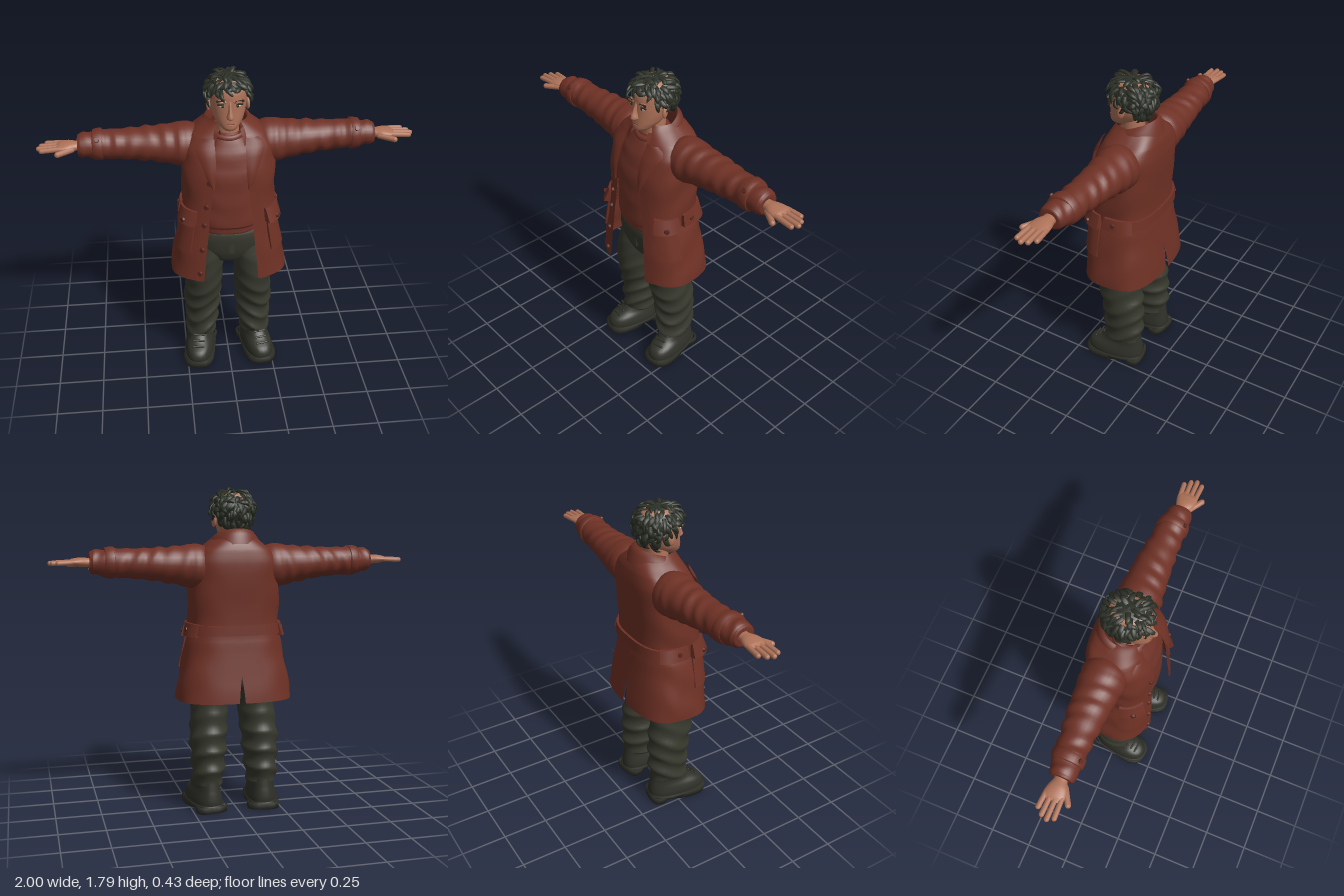
import * as THREE from 'three';
import { mergeVertices, mergeGeometries, toCreasedNormals } from 'three/addons/utils/BufferGeometryUtils.js';

const mat = (name, color, side = THREE.FrontSide) => {
  const m = new THREE.MeshStandardMaterial({ color, side });
  m.name = name;
  return m;
};
const { sin, cos, abs, sign, PI, pow, sqrt } = Math;

// Grid surface: fn(i, j) gives a point, columns i run around, rows j run along
function sheet(nu, nv, fn, closed) {
  const pos = [], idx = [], cols = closed ? nu : nu + 1;
  for (let j = 0; j <= nv; j++) for (let i = 0; i < cols; i++) pos.push(...fn(i, j));
  for (let j = 0; j < nv; j++) for (let i = 0; i < nu; i++) {
    const a = j * cols + i, b = j * cols + (i + 1) % cols;
    idx.push(a, b, a + cols, b, b + cols, a + cols);
  }
  const g = new THREE.BufferGeometry();
  g.setAttribute('position', new THREE.Float32BufferAttribute(pos, 3));
  g.setIndex(idx);
  g.computeVertexNormals();
  return g;
}

// Smooth lookup in a table of key rows whose first entry is the parameter
function at(keys, q) {
  let i = 0;
  while (i < keys.length - 2 && q > keys[i + 1][0]) i++;
  const K = n => keys[Math.max(0, Math.min(keys.length - 1, n))];
  const f = (q - K(i)[0]) / (K(i + 1)[0] - K(i)[0]);
  return K(i).map((p1, c) => {
    if (!c) return q;
    const p0 = K(i - 1)[c], p2 = K(i + 1)[c], p3 = K(i + 2)[c];
    return p1 + 0.5 * f * (p2 - p0 + f * (2 * p0 - 5 * p1 + 4 * p2 - p3 + f * (3 * (p1 - p2) + p3 - p0)));
  });
}
const steps = (keys, k) => keys.slice(1).reduce((r, b, i) => {
  for (let n = 1; n <= k; n++) r.push(keys[i][0] + (b[0] - keys[i][0]) * n / k);
  return r;
}, [keys[0][0]]);
const sp = (v, e) => sign(v) * pow(abs(v), e);

// Upright body from rows [y, half width, front z, back z, centre x]
function loft(keys, { n = 32, k = 4, e = 1, fold = () => 0 } = {}) {
  const q = steps(keys, k);
  return sheet(n, q.length - 1, (i, j) => {
    const [y, w, f, b, cx = 0] = at(keys, q[j]), a = i / n * 2 * PI, d = fold(a, y);
    return [cx + (w + d) * sp(sin(a), e), y, (f + b) / 2 + ((f - b) / 2 + d) * sp(cos(a), e)];
  }, true);
}
// Sideways tube from rows [x, centre y, centre z, y radius, z radius]
function limb(keys, { n = 28, k = 5, fold = () => 0 } = {}) {
  const q = steps(keys, k);
  return sheet(n, q.length - 1, (i, j) => {
    const [x, y, z, ry, rz] = at(keys, q[j]), a = i / n * 2 * PI, d = fold(a, x);
    return [x, y + (ry + d) * cos(a), z + (rz + d) * sin(a)];
  }, true);
}
function mirrored(geo) {
  const g = (geo.index ? geo.clone() : mergeVertices(geo)).scale(-1, 1, 1), id = g.index.array;
  for (let i = 0; i < id.length; i += 3) [id[i], id[i + 1]] = [id[i + 1], id[i]];
  return g;
}
const ball = (x, y, z, rx, ry, rz) => new THREE.SphereGeometry(1, 20, 14).scale(rx, ry, rz).translate(x, y, z);
const box = (w, h, d, x, y, z, rz = 0) => new THREE.BoxGeometry(w, h, d).rotateZ(rz).translate(x, y, z);

// Coat rows: y, half width, front z, back z, half opening
const COAT = [
  [0.63, 0.322, 0.215, -0.212, 0.15], [0.8, 0.295, 0.208, -0.19, 0.135], [0.95, 0.265, 0.2, -0.172, 0.12],
  [1.02, 0.25, 0.195, -0.165, 0.115], [1.15, 0.25, 0.19, -0.167, 0.097], [1.28, 0.25, 0.182, -0.176, 0.085],
  [1.38, 0.242, 0.155, -0.178, 0.083], [1.45, 0.2, 0.12, -0.168, 0.085], [1.49, 0.15, 0.1, -0.152, 0.078],
  [1.53, 0.105, 0.085, -0.125, 0.06]];
const CE = 0.72;
function coatPoint(a, y, off = 0) {
  const [, w, f, b] = at(COAT, y);
  const d = off + 0.004 * sin(y * 30 + 3 * sin(2 * a)) * sin(a) ** 2;
  return [(w + d) * sp(sin(a), CE), y, (f + b) / 2 + ((f - b) / 2 + d) * sp(cos(a), CE)];
}
const angleAt = (x, y) => Math.asin(Math.min(1, pow(x / at(COAT, y)[1], 1 / CE)));
// Raised panel that follows the coat surface
function panel(a0, a1, y0, y1, low, high, n = 10) {
  const prof = [[y0, 0], [y0, low], [y1, high], [y1, 0]];
  return toCreasedNormals(sheet(n + 2, 3, (i, j) => {
    const t = Math.min(1, Math.max(0, (i - 1) / n)), edge = i === 0 || i === n + 2;
    return coatPoint(a0 + (a1 - a0) * t, prof[j][0], edge ? -0.004 : prof[j][1]);
  }), 0.7);
}

export function createModel() {
  const model = new THREE.Group();
  const D = THREE.DoubleSide;
  const coat = mat('coat red brown', 0x6f3125, D), knit = mat('sweater red brown', 0x713328);
  const skin = mat('skin', 0xae7258), hair = mat('hair', 0x2b2f25), pants = mat('trousers', 0x37382d);
  const boot = mat('boots', 0x2f3028), trim = mat('buttons', 0x5a271e), lip = mat('lips', 0x8f5443), white = mat('eye white', 0xc9bfb2);
  const add = (name, geo, m) => {
    const o = new THREE.Mesh(geo, m);
    o.name = name;
    model.add(o);
  };
  const both = (name, geo, m) => {
    add(name + 'Left', geo, m);
    add(name + 'Right', mirrored(geo), m);
  };

  // Coat body in two halves, parted at the front and vented at the back
  const rows = steps(COAT, 5);
  both('coatBody', sheet(40, rows.length - 1, (i, j) => {
    const y = rows[j], a0 = angleAt(at(COAT, y)[4], y), a1 = PI - Math.max(0, 0.77 - y) * 0.12;
    return coatPoint(a0 + (a1 - a0) * i / 40, y);
  }), coat);

  // Lapels widen from the fastening up to a pointed notch
  both('lapel', sheet(6, 12, (i, j) => {
    const v = j / 12, y = 1.19 + 0.265 * v, o = at(COAT, y)[4] - 0.008;
    const wide = v < 0.88 ? 0.105 * pow(v / 0.88, 0.75) : 0.105 - 0.4 * (v - 0.88);
    return coatPoint(angleAt(o + wide * i / 6, y), y, 0.013 + 0.006 * sin(PI * i / 6));
  }), coat);

  // Folded collar: stand, roll and fall
  add('collar', sheet(40, 4, (i, j) => {
    const a = 0.5 + (2 * PI - 1) * i / 40, back = (1 - cos(a)) / 2;
    const [r, h] = [[0, -0.05], [0, 0], [0.012, 0.012], [0.035, -0.015], [0.055, -0.07]][j];
    return [(0.098 + r) * sin(a), 1.475 + 0.08 * back + h, -0.008 + (0.108 + r * 0.8) * cos(a)];
  }), coat);

  // Pocket flaps, patch pockets, half belt and its buttoned tabs
  both('patchPocket', panel(0.72, 1.4, 0.8, 0.99, 0.008, 0.008), coat);
  both('pocketFlap', panel(0.68, 1.42, 0.975, 1.055, 0.032, 0.012), coat);
  both('beltTab', panel(1.53, 2.2, 0.985, 1.055, 0.026, 0.016), coat);
  both('backBelt', panel(2.15, PI, 0.995, 1.05, 0.013, 0.013), coat);
  both('frontPlacketSeam', sheet(2, 12, (i, j) => {
    const y = 0.63 + 0.57 * j / 12;
    return coatPoint(angleAt(at(COAT, y)[4] + 0.045 * i / 2, y), y, 0.005);
  }), coat);

  // Buttons stand off the surface
  const button = (a, y, off) => {
    const p = new THREE.Vector3(...coatPoint(a, y, off)), n = new THREE.Vector3(...coatPoint(a, y, off + 0.05)).sub(p).normalize();
    return new THREE.CylinderGeometry(0.013, 0.015, 0.012, 16)
      .applyQuaternion(new THREE.Quaternion().setFromUnitVectors(new THREE.Vector3(0, 1, 0), n)).translate(p.x, p.y, p.z);
  };
  add('frontButtonsRight', mirrored(mergeGeometries([1.23, 1.09, 0.98, 0.83, 0.68].map(y => button(angleAt(at(COAT, y)[4] + 0.024, y), y, 0.008)))), trim);
  both('pocketButton', button(1.05, 0.997, 0.03), trim);
  both('beltTabButton', button(1.66, 1.02, 0.024), trim);

  // Sleeves with gathered folds and strapped cuffs
  const SLEEVE = [[0.13, 1.36, -0.03, 0.1, 0.09], [0.21, 1.363, -0.03, 0.122, 0.12], [0.32, 1.37, -0.03, 0.104, 0.11],
    [0.45, 1.378, -0.03, 0.088, 0.098], [0.58, 1.383, -0.025, 0.079, 0.084], [0.66, 1.388, -0.022, 0.077, 0.08],
    [0.77, 1.39, -0.014, 0.064, 0.068], [0.785, 1.39, -0.012, 0.056, 0.06], [0.775, 1.39, -0.012, 0.03, 0.035]];
  const sleeveFold = (a, x) => (x > 0.25 && x < 0.76 ? 0.0055 : 0) * sin(x * 75 + 2.2 * sin(a + 0.8)) * (0.6 + 0.4 * sin(2 * a + x * 20));
  both('sleeve', limb(SLEEVE.slice(0, 8), { k: 8, fold: sleeveFold }), coat);
  both('cuffLining', limb([[0.76, 1.39, -0.012, 0.05, 0.054], [0.784, 1.39, -0.012, 0.057, 0.061], [0.786, 1.39, -0.012, 0.03, 0.035]], { k: 2 }), coat);
  both('cuffStrap', limb([[0.655, 1.388, -0.022, 0.07, 0.075], [0.66, 1.388, -0.022, 0.085, 0.088], [0.705, 1.389, -0.018, 0.08, 0.083], [0.71, 1.389, -0.018, 0.066, 0.07]], { k: 2 }), coat);
  both('cuffButton', new THREE.CylinderGeometry(0.011, 0.013, 0.012, 14).rotateX(0.9).translate(0.683, 1.443, 0.048), trim);

  // Hands
  both('palm', limb([[0.74, 1.39, -0.012, 0.026, 0.034], [0.79, 1.39, -0.01, 0.024, 0.034], [0.83, 1.392, -0.008, 0.025, 0.05],
    [0.875, 1.392, -0.01, 0.019, 0.056], [0.9, 1.39, -0.01, 0.01, 0.048]]), skin);
  const finger = (len, r, x, y, z, turn) => new THREE.CapsuleGeometry(r, len, 5, 10).rotateZ(-PI / 2).translate(len / 2, 0, 0)
    .rotateZ(-0.05).rotateY(turn).translate(x, y, z);
  both('fingers', mergeGeometries([[0.075, -0.052, 0.08], [0.102, -0.025, 0.03], [0.114, 0.003, 0], [0.098, 0.031, -0.04]]
    .map(([len, z, t]) => finger(len, 0.0135, 0.873, 1.392, z, t))), skin);
  both('thumb', finger(0.085, 0.0155, 0.815, 1.383, 0.024, -0.55), skin);

  // Sweater with ribbed hem and neckband
  add('sweater', loft([[0.895, 0.15, 0.15, -0.12], [0.9, 0.17, 0.166, -0.13], [0.935, 0.172, 0.17, -0.13], [0.95, 0.185, 0.182, -0.135],
    [1.1, 0.19, 0.18, -0.14], [1.25, 0.2, 0.172, -0.14], [1.36, 0.18, 0.145, -0.14], [1.43, 0.11, 0.112, -0.12], [1.47, 0.07, 0.09, -0.08]],
  { n: 40, e: 0.85, fold: (a, y) => y > 0.96 && y < 1.35 ? 0.003 * sin(y * 45 + 3 * cos(a * 2)) : 0 }), knit);
  add('neckband', new THREE.TorusGeometry(0.077, 0.019, 12, 36).rotateX(PI / 2).rotateX(0.28).translate(0, 1.462, 0.018), knit);

  // Trousers with bunched folds
  add('trouserSeat', loft([[0.66, 0.02, 0.06, -0.06], [0.7, 0.12, 0.12, -0.11], [0.78, 0.2, 0.15, -0.13], [0.92, 0.185, 0.15, -0.12], [0.93, 0.01, 0.01, -0.01]], { e: 0.85 }), pants);
  add('fly', box(0.028, 0.12, 0.008, 0.008, 0.83, 0.153), pants);
  const legFold = (a, y) => 0.0085 * Math.min(1, Math.max(0.15, (0.68 - y) * 3)) * (1 - abs(sin(y * 30 + 1.3 * sin(a + 0.7) + 0.5 * sin(2 * a))) * 2);
  both('trouserLeg', loft([[0.135, 0.07, 0.07, -0.11, 0.155], [0.15, 0.086, 0.09, -0.125, 0.157], [0.2, 0.09, 0.1, -0.137, 0.155],
    [0.3, 0.098, 0.1, -0.135, 0.15], [0.4, 0.104, 0.112, -0.135, 0.15], [0.5, 0.105, 0.138, -0.12, 0.14],
    [0.62, 0.103, 0.146, -0.108, 0.133], [0.72, 0.105, 0.145, -0.115, 0.118], [0.82, 0.09, 0.13, -0.11, 0.095]], { k: 9, fold: legFold }), pants);

  // Boots turned slightly outwards: upper, toe, soles and laces
  const place = g => g.rotateY(0.16).translate(0.165, 0, 0);
  both('bootUpper', place(loft([[0.025, 0.083, 0.195, -0.14], [0.06, 0.085, 0.198, -0.142], [0.095, 0.078, 0.178, -0.138],
    [0.125, 0.068, 0.12, -0.132], [0.17, 0.063, 0.08, -0.125], [0.24, 0.062, 0.07, -0.12]], { e: 0.85 })), boot);
  const sole = (y0, y1, zf, zb) => loft([[y0, 0.001, (zf + zb) / 2 + 0.001, (zf + zb) / 2 - 0.001], [y0 + 0.0005, 0.088, zf, zb], [y1, 0.092, zf + 0.004, zb - 0.003], [y1 + 0.001, 0.08, zf - 0.01, zb + 0.01]], { k: 1, e: 0.75 });
  both('soleFront', place(sole(0, 0.035, 0.205, -0.03)), boot);
  both('heel', place(sole(0, 0.035, -0.045, -0.146)), boot);
  both('soleWelt', place(sole(0.018, 0.04, 0.202, -0.144)), boot);
  both('laces', place(mergeGeometries([0.105, 0.13, 0.155].map((y, i) => new THREE.CapsuleGeometry(0.006, 0.06, 4, 8).rotateZ(PI / 2).translate(0, y + 0.01, 0.147 - i * 0.026)))), boot);

  // Head, neck, nose, ears
  add('neck', new THREE.CylinderGeometry(0.056, 0.064, 0.2, 24).translate(0, 1.48, 0.005), skin);
  add('head', loft([[1.493, 0.004, 0.11, 0.09], [1.498, 0.032, 0.128, 0.04], [1.515, 0.053, 0.136, 0], [1.545, 0.074, 0.134, -0.04],
    [1.59, 0.089, 0.131, -0.075], [1.64, 0.095, 0.129, -0.09], [1.7, 0.094, 0.124, -0.1], [1.75, 0.07, 0.09, -0.07], [1.77, 0.003, 0.015, 0.01]], { n: 36, e: 0.95 }), skin);
  add('nose', loft([[1.562, 0.004, 0.135, 0.11], [1.567, 0.016, 0.152, 0.1], [1.576, 0.02, 0.163, 0.1], [1.605, 0.012, 0.153, 0.1], [1.64, 0.009, 0.138, 0.1], [1.665, 0.012, 0.128, 0.1]], { n: 16 }), skin);
  both('ear', ball(0, 0, 0, 0.011, 0.032, 0.02).rotateX(-0.2).rotateY(0.3).translate(0.101, 1.605, 0.022), skin);
  both('browRidge', ball(0.04, 1.655, 0.118, 0.032, 0.01, 0.014), skin);
  both('eyeWhite', ball(0.039, 1.633, 0.117, 0.016, 0.008, 0.009), white);
  both('iris', ball(0.038, 1.633, 0.124, 0.007, 0.0075, 0.004), hair);
  both('upperLash', box(0.036, 0.005, 0.008, 0.039, 1.6415, 0.124).rotateY(0.08), hair);
  both('eyebrow', box(0.045, 0.01, 0.008, 0.041, 1.659, 0.128, 0.08).rotateY(0.06), hair);
  add('mouth', box(0.044, 0.005, 0.008, 0, 1.539, 0.132), lip);
  add('lowerLip', ball(0, 1.531, 0.13, 0.017, 0.005, 0.007), skin);

  // Hair: shell cut back round the face, covered in swept tapering locks
  const hairline = az => (100 - 41 * cos(az)) * PI / 180;
  const scalp = (az, p, s = 1) => [0.107 * s * sin(p) * sin(az), 1.67 + (cos(p) > 0 ? 0.1 : 0.135) * s * cos(p), 0.013 + 0.127 * s * sin(p) * cos(az)];
  add('hairShell', sheet(36, 14, (i, j) => {
    const az = i / 36 * 2 * PI, p = hairline(az) * (1 - j / 14);
    return scalp(az, p, j === 0 ? 0.9 : 1);
  }, true), hair);
  let seed = 7;
  const rnd = () => (seed = seed * 16807 % 2147483647) / 2147483647;
  const locks = [];
  for (let i = 0; i < 190; i++) {
    const az = i * 2.39996, c = 1 - 1.72 * (i + 0.5) / 190, p = Math.acos(c);
    if (p > hairline(az) - 0.02) continue;
    const P = new THREE.Vector3(...scalp(az, p, 0.97)), d = new THREE.Vector3(...scalp(az, p, 2)).sub(P).normalize();
    const t = new THREE.Vector3(...scalp(az + (rnd() - 0.5) * 0.9, p + 0.4)).sub(P).normalize();
    const side = new THREE.Vector3().crossVectors(d, t).normalize();
    const len = 0.05 + 0.028 * rnd(), r = 0.014 + 0.007 * rnd(), lift = 0.012 + 0.014 * rnd(), curl = (rnd() - 0.5) * 0.04;
    locks.push(sheet(7, 6, (k, j) => {
      const v = j / 6, a = k / 7 * 2 * PI, w = r * sqrt(1 - v) * (0.7 + 0.6 * v);
      return P.clone().addScaledVector(t, len * v).addScaledVector(d, lift * sin(v * 2.4) + w * 0.55 * sin(a))
        .addScaledVector(side, curl * v * v + w * cos(a)).toArray();
    }, true));
  }
  add('hairLocks', mergeGeometries(locks), hair);
  return model;
}
